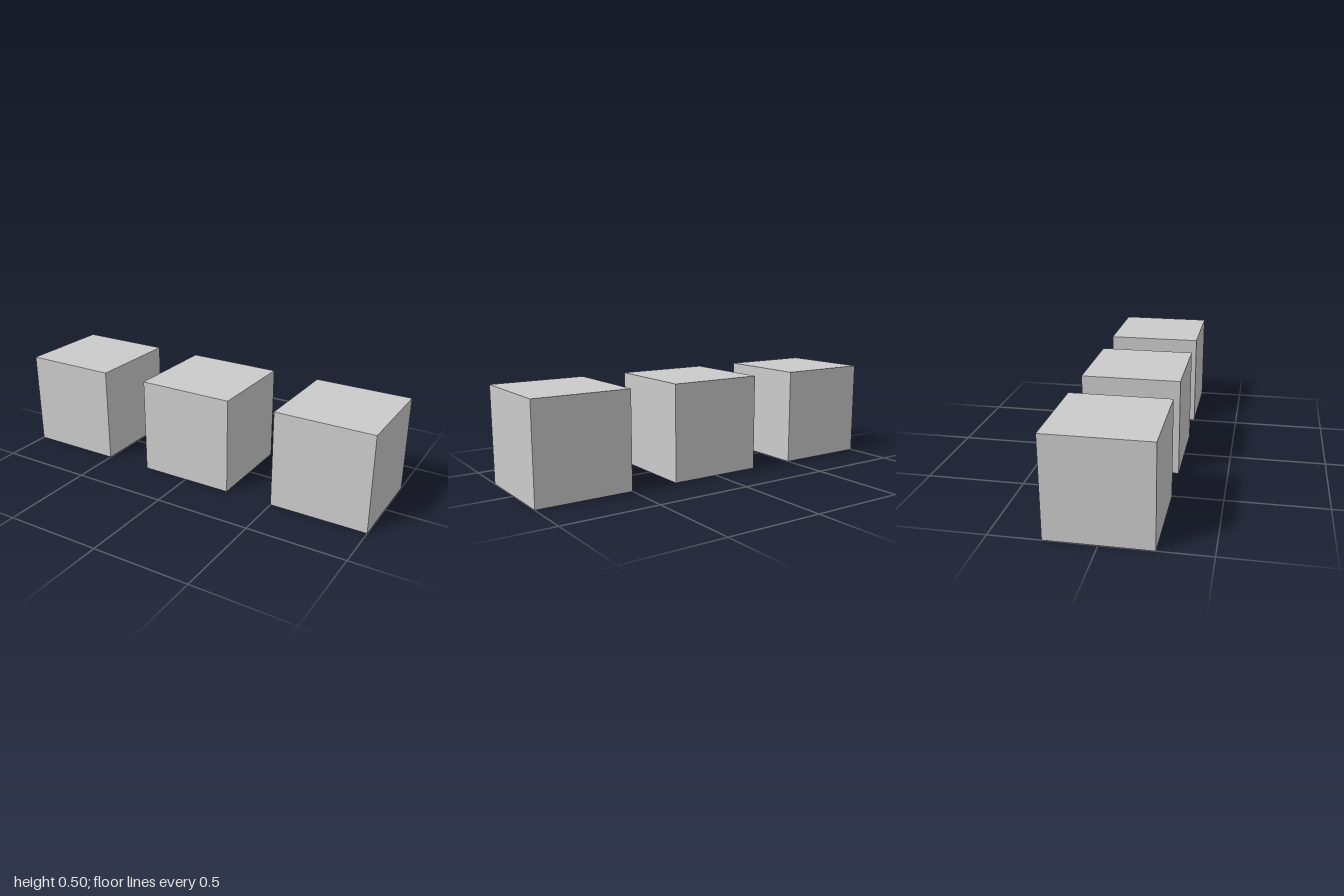
import * as THREE from 'three';

const SIZE = 0.5;
const SPACING = 0.75;

export function createModel() {
  const model = new THREE.Group();
  model.name = 'cubeRow';

  const material = new THREE.MeshStandardMaterial({ color: 0xcccccc });
  const geometry = new THREE.BoxGeometry(SIZE, SIZE, SIZE);

  // Three equal cubes in a row, resting on the ground
  ['rightCube', 'middleCube', 'leftCube'].forEach((name, i) => {
    const cube = new THREE.Mesh(geometry, material);
    cube.name = name;
    cube.position.set((i - 1) * SPACING, SIZE / 2, 0);
    model.add(cube);
  });

  return model;
}
